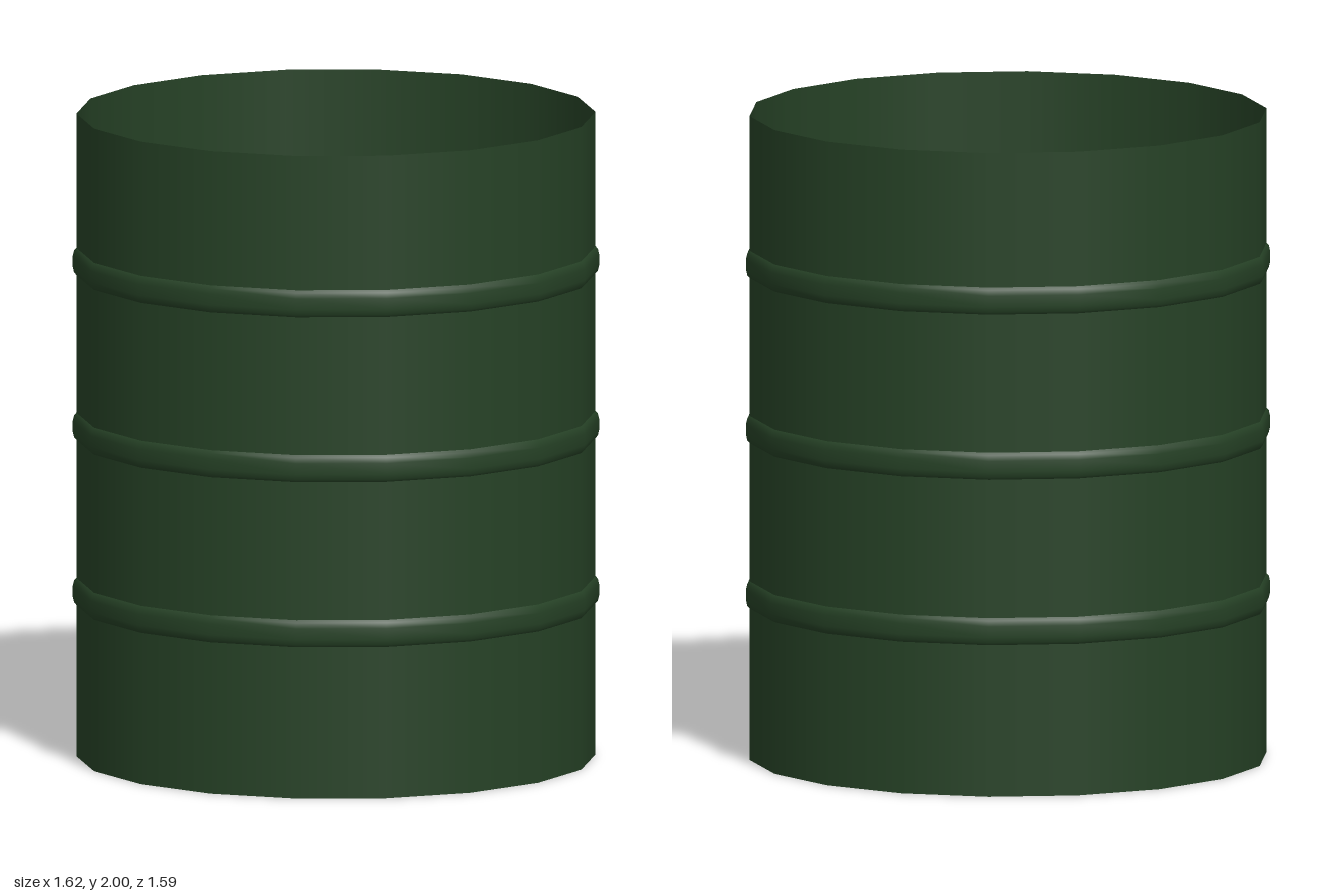
import * as THREE from 'three';

const SIDES = 18;
const RADIUS = 0.797;
const RIB_RADIUS = 0.808;
const RIB_HALF = 0.042;
const RIB_HEIGHTS = [0.513, 1.027, 1.54];

export function createModel() {
  const model = new THREE.Group();
  model.name = 'openBarrel';

  const paint = new THREE.MeshStandardMaterial({ color: 0x264226, side: THREE.DoubleSide });
  paint.name = 'dark green paint';

  // Revolve a [radius, height] profile, with a corner on the x axis
  function addRing(name, profile) {
    const points = profile.map(([r, y]) => new THREE.Vector2(r, y));
    const mesh = new THREE.Mesh(new THREE.LatheGeometry(points, SIDES, Math.PI / 2), paint);
    mesh.name = name;
    model.add(mesh);
  }

  // Wall bands alternating with shallow, outward rolled ribs
  let bottom = 0;
  for (const y of RIB_HEIGHTS) {
    addRing('wallBand', [[RADIUS, bottom], [RADIUS, y - RIB_HALF]]);
    addRing('rolledRib', [
      [RADIUS, y - RIB_HALF],
      [RADIUS + 0.007, y - 0.034],
      [RIB_RADIUS, y - 0.017],
      [RIB_RADIUS, y + 0.017],
      [RADIUS + 0.007, y + 0.034],
      [RADIUS, y + RIB_HALF],
    ]);
    bottom = y + RIB_HALF;
  }
  addRing('wallBand', [[RADIUS, bottom], [RADIUS, 2]]);

  // Floor, seen from inside and below
  const floor = new THREE.Mesh(new THREE.CircleGeometry(RADIUS, SIDES), paint);
  floor.name = 'floor';
  floor.rotation.x = -Math.PI / 2;
  model.add(floor);

  return model;
}
